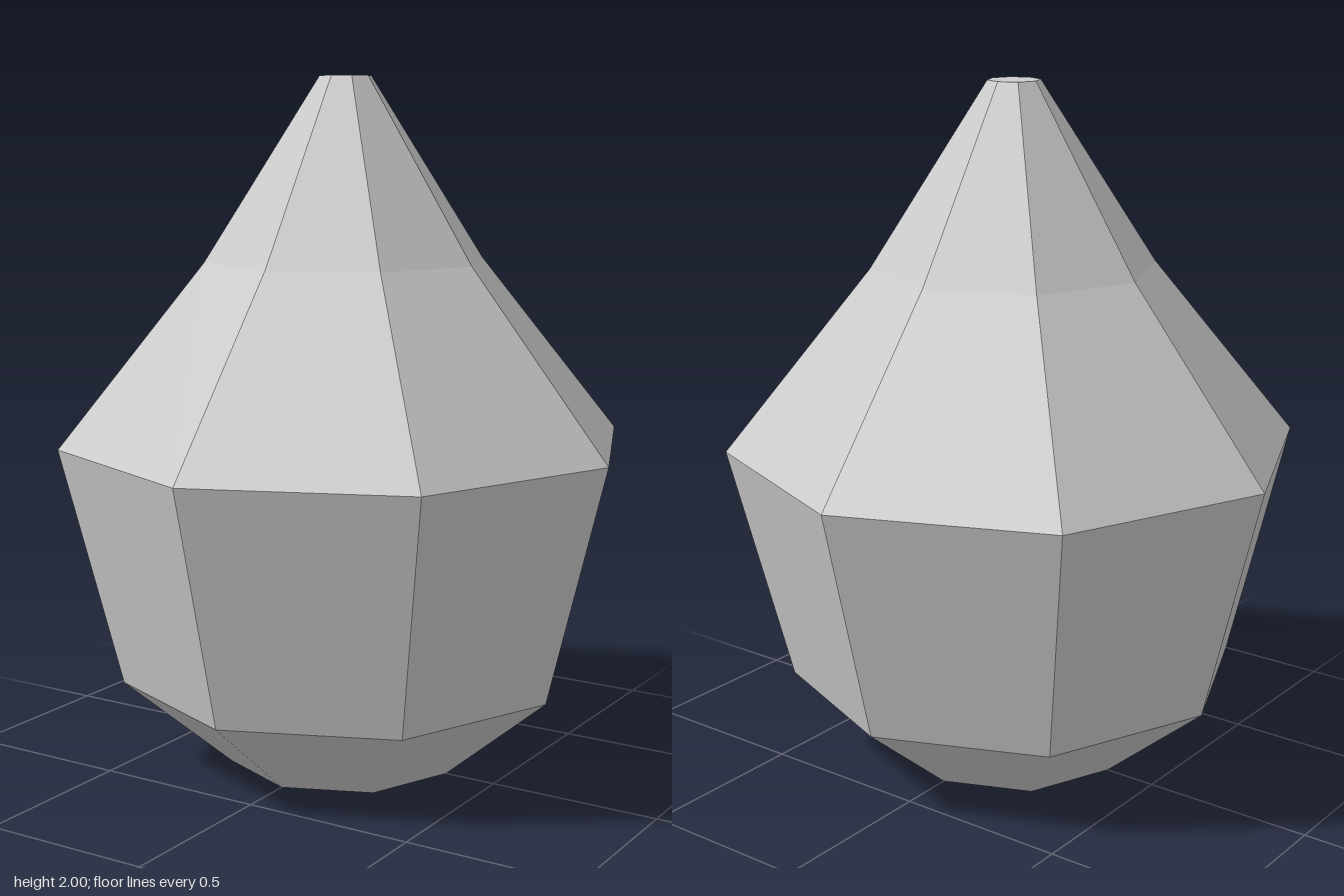
import * as THREE from 'three';

export function createModel() {
  const group = new THREE.Group();
  group.name = 'facetedDrop';

  const grey = new THREE.MeshStandardMaterial({ color: 0xcccccc, flatShading: true });
  grey.name = 'light grey';

  // Half profile (radius, height) from base centre to tip centre, closed by flat caps
  const profile = [
    [0, 0], [0.345, 0], [0.66, 0.265], [0.833, 0.96], [0.41, 1.48], [0.075, 2], [0, 2],
  ].map(([r, y]) => new THREE.Vector2(r, y));

  // Eight-sided body with its corners on the x and z axes
  const geometry = new THREE.LatheGeometry(profile, 8).toNonIndexed();
  geometry.computeVertexNormals();
  const body = new THREE.Mesh(geometry, grey);
  body.name = 'body';
  group.add(body);

  return group;
}
